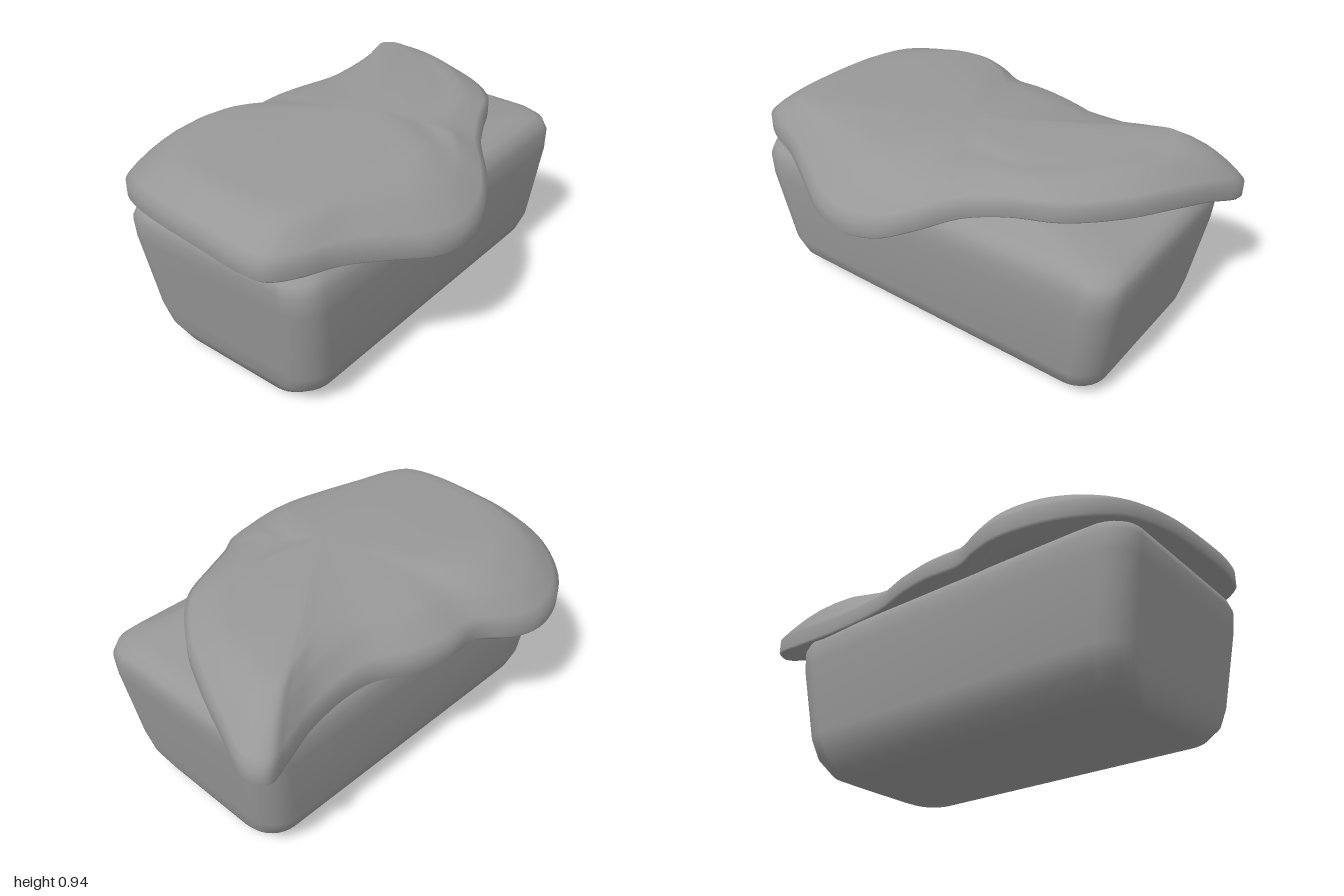
import * as THREE from 'three';
import { mergeVertices } from 'three/addons/utils/BufferGeometryUtils.js';

// Skin a stack of rings, ordered from the underside up, each counterclockwise from above
function loft(rings) {
  const n = rings[0].length, index = [];
  for (let k = 0; k < rings.length - 1; k++) {
    for (let i = 0; i < n; i++) {
      const j = (i + 1) % n, a = k * n, b = a + n;
      index.push(a + i, a + j, b + j, a + i, b + j, b + i);
    }
  }
  const geo = new THREE.BufferGeometry().setFromPoints(rings.flat());
  geo.setIndex(index);
  const merged = mergeVertices(geo, 1e-4);
  merged.computeVertexNormals();
  return merged;
}

// Horizontal rounded rectangle at height y
function roundedRing(y, hx, hz) {
  const r = Math.min(0.13, hx * 0.9), pts = [], steps = 8;
  [[1, 1], [1, -1], [-1, -1], [-1, 1]].forEach(([sx, sz], c) => {
    for (let i = 0; i <= steps; i++) {
      const t = (c + i / steps) * Math.PI / 2;
      pts.push(new THREE.Vector3(sx * (hx - r) + r * Math.sin(t), y, sz * (hz - r) + r * Math.cos(t)));
    }
  });
  return pts;
}

export function createModel() {
  const group = new THREE.Group();
  const material = new THREE.MeshStandardMaterial({ color: 0x989898 });
  const add = (name, geometry) => {
    const mesh = new THREE.Mesh(geometry, material);
    mesh.name = name;
    group.add(mesh);
  };

  // Tapered loaf body: height, half width, half length
  const body = [
    [0, 0, 0], [0, 0.27, 0.76], [0.025, 0.37, 0.815], [0.09, 0.435, 0.845], [0.18, 0.47, 0.862],
    [0.53, 0.503, 0.918], [0.62, 0.5, 0.928], [0.665, 0.482, 0.915], [0.695, 0.45, 0.88],
    [0.71, 0.4, 0.82], [0.765, 0.3, 0.5], [0.8, 0, 0],
  ];
  add('loafBody', loft(body.map((p) => roundedRing(...p))));

  // Wavy rim of the topping: x, height of the lower edge, z
  const rim = [
    [-0.5, 0.61, -1], [-0.57, 0.605, -0.95], [-0.55, 0.62, -0.84], [-0.505, 0.65, -0.66],
    [-0.5, 0.67, -0.37], [-0.58, 0.65, -0.14], [-0.608, 0.645, 0.02], [-0.608, 0.64, 0.2],
    [-0.69, 0.61, 0.36], [-0.725, 0.6, 0.5], [-0.69, 0.61, 0.67], [-0.6, 0.635, 0.8],
    [-0.44, 0.68, 0.9], [-0.22, 0.705, 0.96], [0.05, 0.71, 0.987], [0.25, 0.7, 0.995],
    [0.36, 0.693, 0.97], [0.43, 0.69, 0.88], [0.5, 0.683, 0.71], [0.6, 0.655, 0.53],
    [0.69, 0.62, 0.36], [0.72, 0.612, 0.2], [0.69, 0.63, 0.04], [0.61, 0.68, -0.1],
    [0.49, 0.73, -0.24], [0.4, 0.755, -0.4], [0.3, 0.755, -0.6], [0.1, 0.735, -0.77],
    [-0.1, 0.71, -0.87], [-0.3, 0.67, -0.945],
  ].map((p) => new THREE.Vector3(...p));
  const curve = new THREE.CatmullRomCurve3(rim, true);
  const count = 150;
  const edge = Array.from({ length: count }, (_, i) => curve.getPoint(i / count));
  const apex = new THREE.Vector3(0.1, 0.94, 0);

  // Move the rim toward the apex by a distance and set its height by a rule
  const inset = (d, height) => edge.map((p) => {
    const t = d / Math.hypot(p.x - apex.x, p.z - apex.z);
    const q = p.clone().lerp(apex, t);
    q.y = height(p.y);
    return q;
  });
  const mix = THREE.MathUtils.lerp;
  const thickness = 0.073;
  const shoulder = (y) => Math.min(0.82 + 0.62 * (y - 0.6), 0.888);
  const slope = ([d, f]) => inset(d, (y) => mix(y + thickness, shoulder(y), f));
  const under = ([d, f]) => inset(d, (y) => mix(y, 0.76, f));
  const point = (y) => edge.map(() => new THREE.Vector3(apex.x, y, apex.z));
  add('topping', loft([
    point(0.8),
    ...[[0.3, 0.7], [0.15, 0.33], [0.01, 0]].map(under),
    inset(0, (y) => y + 0.01),
    ...[[0, 0], [0.03, 0.24], [0.08, 0.57], [0.12, 0.8], [0.16, 1]].map(slope),
    inset(0.23, (y) => mix(shoulder(y), 0.895, 0.55)),
    inset(0.31, () => 0.895),
    point(apex.y),
  ]));

  return group;
}
